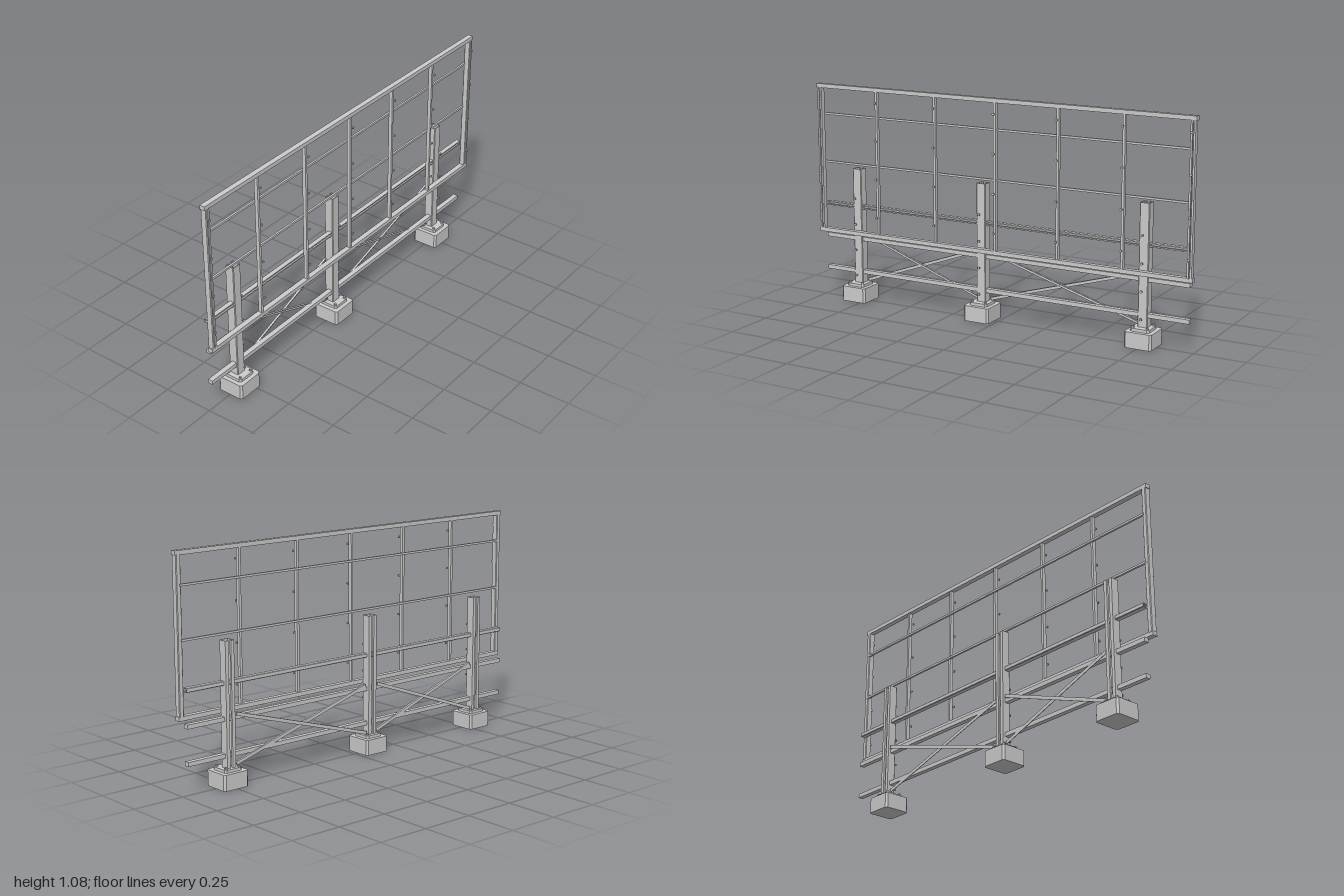
import * as THREE from 'three';

const grey = new THREE.MeshStandardMaterial({ color: 0xcccccc, flatShading: true });

export function createModel() {
  const model = new THREE.Group();

  function add(parent, name, geo, x = 0, y = 0, z = 0) {
    const mesh = new THREE.Mesh(geo, grey);
    mesh.name = name;
    mesh.position.set(x, y, z);
    parent.add(mesh);
    return mesh;
  }
  const box = (w, h, d) => new THREE.BoxGeometry(w, h, d);

  // vertical extrusion of a plan outline, centred on the origin
  function upright(points, length) {
    const shape = new THREE.Shape(points.map(([x, y]) => new THREE.Vector2(x, y)));
    const geo = new THREE.ExtrudeGeometry(shape, { depth: length, bevelEnabled: false });
    return geo.translate(0, 0, -length / 2).rotateX(-Math.PI / 2);
  }

  // lipped channel with its slot facing the back
  function channel(w, d, wall, slot, length) {
    const a = w / 2, b = d / 2, s = slot / 2, i = a - wall, lip = b - wall * 2.5, c = wall * 0.8;
    return upright([
      [-a + c, -b], [a - c, -b], [a, -b + c], [a, b], [s, b], [s, lip],
      [s + wall, lip], [s + wall, b - wall], [i, b - wall], [i, -b + wall],
      [-i, -b + wall], [-i, b - wall], [-s - wall, b - wall], [-s - wall, lip],
      [-s, lip], [-s, b], [-a, b], [-a, -b + c],
    ], length);
  }

  // square slab with cut corners
  function slab(half, cut, height) {
    const k = half - cut;
    return upright([[-k, -half], [k, -half], [half, -k], [half, k],
      [k, half], [-k, half], [-half, k], [-half, -k]], height);
  }

  const bolt = (r, len) => new THREE.CylinderGeometry(r, r, len, 10);
  const faceBolt = bolt(0.006, 0.006).rotateX(Math.PI / 2);

  // posts on footings
  const postX = [-0.79, -0.086, 0.754];
  const footing = slab(0.067, 0.009, 0.075);
  const basePlate = slab(0.047, 0.009, 0.014);
  const postGeo = channel(0.048, 0.044, 0.004, 0.014, 0.577);
  for (const x of postX) {
    const post = new THREE.Group();
    post.name = 'postAssembly';
    post.position.x = x;
    model.add(post);
    add(post, 'footing', footing, 0, 0.0375, 0);
    add(post, 'basePlate', basePlate, 0, 0.082, 0);
    add(post, 'post', postGeo, 0, 0.3775, -0.009);
    for (const sx of [-1, 1]) for (const sz of [-1, 1])
      add(post, 'anchorBolt', bolt(0.006, 0.009), sx * 0.035, 0.093, sz * 0.035);
    for (const y of [0.13, 0.26, 0.39, 0.52]) add(post, 'postBolt', faceBolt, 0, y, 0.034);
  }

  // long rails through the posts
  const slottedRail = channel(0.02, 0.025, 0.003, 0.008, 1.956)
    .rotateY(Math.PI).rotateZ(Math.PI / 2);
  add(model, 'upperRail', slottedRail, 0, 0.475, -0.005);
  for (const y of [0.313, 0.145]) add(model, 'lowerRail', box(1.956, 0.02, 0.025), 0, y, -0.005);

  // angle section cross braces in each bay
  function brace(x0, y0, x1, y1, z) {
    const dx = x1 - x0, dy = y1 - y0, len = Math.hypot(dx, dy);
    const group = new THREE.Group();
    group.name = 'crossBrace';
    group.position.set((x0 + x1) / 2, (y0 + y1) / 2, z);
    group.rotation.z = Math.atan2(dy, dx);
    add(group, 'braceWeb', box(len, 0.016, 0.003));
    add(group, 'braceFlange', box(len, 0.003, 0.011), 0, 0.0065, 0.004);
    model.add(group);
  }
  for (let i = 0; i < 2; i++) {
    const a = postX[i] + 0.035, b = postX[i + 1] - 0.035;
    brace(a, 0.1, b, 0.33, -0.026);
    brace(a, 0.33, b, 0.1, -0.02);
  }

  // display panel frame
  const panel = new THREE.Group();
  panel.name = 'panelFrame';
  model.add(panel);
  for (const y of [0.345, 1.069])
    add(panel, 'frameRail', box(2, 0.02, 0.026), 0, y, 0.026);
  const sideGeo = channel(0.024, 0.028, 0.004, 0.006, 0.71).rotateY(Math.PI);
  for (const s of [-1, 1]) add(panel, 'frameSide', sideGeo, s * 0.984, 0.707, 0.026);
  for (let i = -2; i <= 2; i++)
    add(panel, 'mullion', box(0.012, 0.706, 0.018), i * 0.328, 0.707, 0.026);
  for (const y of [0.69, 0.93])
    add(panel, 'panelBar', box(1.96, 0.01, 0.01), 0, y, 0.014);
  for (let i = -3; i <= 3; i++)
    for (const y of [0.44, 0.63, 0.82, 1.007])
      add(panel, 'panelBolt', faceBolt, i * 0.3275, y, 0.047);

  return model;
}
